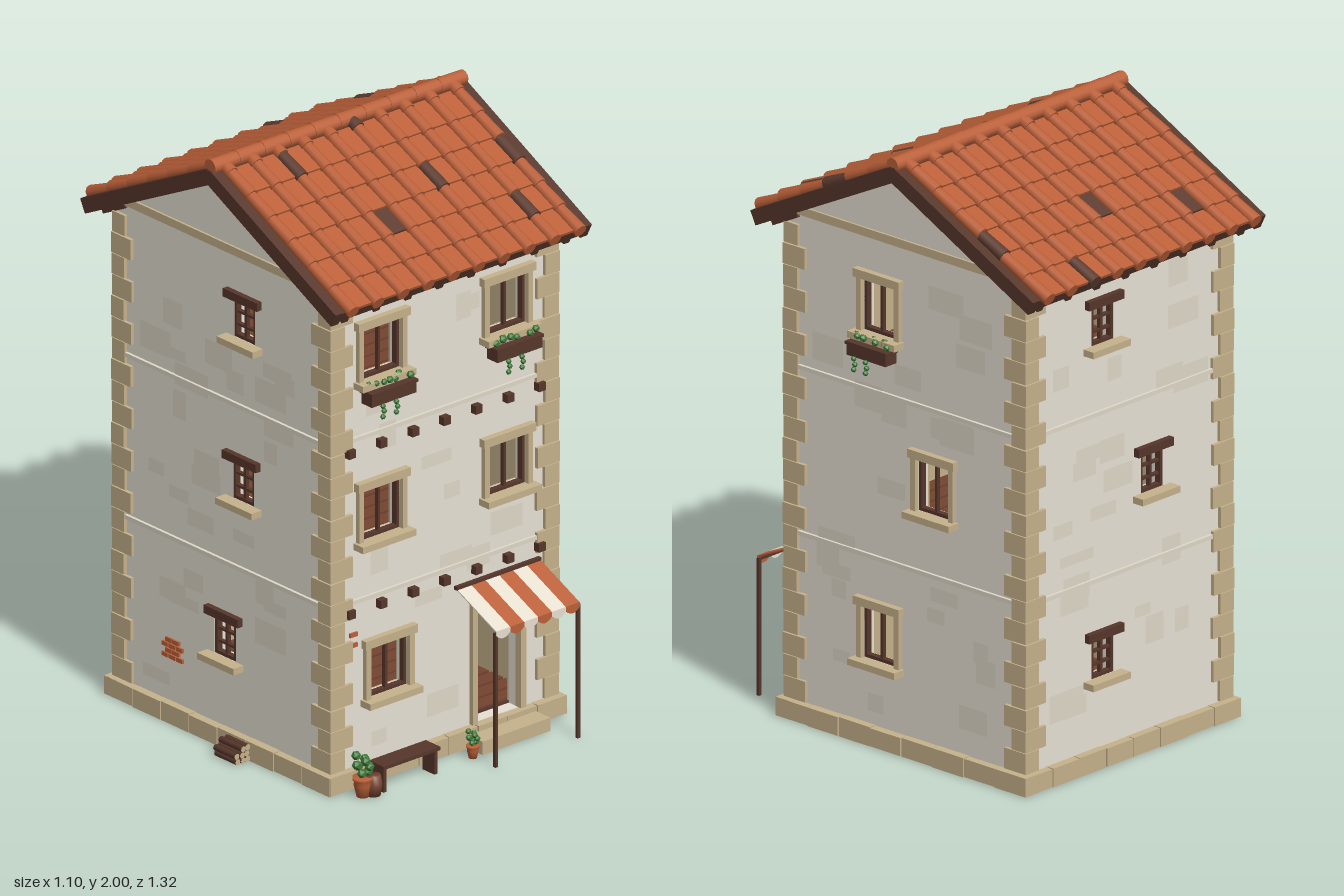
import * as THREE from 'three';

const mat = (name, color, extra = {}) => Object.assign(new THREE.MeshStandardMaterial({ color, ...extra }), { name });
const M = {
  plaster: mat('plaster', 0xe9e3d6), patch: mat('plaster patch', 0xdfd8c8), stone: mat('stone', 0xc6b28b),
  timber: mat('dark timber', 0x56362b), plank: mat('plank', 0x74432f), under: mat('underside', 0x4a2d25),
  tile: mat('terracotta', 0xbb6039), oldTile: mat('old tile', 0x5e3d31), leaf: mat('leaf', 0x3f7a3a),
  canvas: mat('canvas', 0xeae2d2, { side: THREE.DoubleSide }),
};
const CX = 0.009, CZ = -0.0425, HW = 0.462, HD = 0.503, EAVE = 1.67, APEX = 1.92, T = 0.045;

function add(parent, name, geo, m, x = 0, y = 0, z = 0) {
  const mesh = new THREE.Mesh(geo, m);
  mesh.name = name;
  mesh.position.set(x, y, z);
  parent.add(mesh);
  return mesh;
}
const box = (p, name, m, w, h, d, x, y, z) => add(p, name, new THREE.BoxGeometry(w, h, d), m, x, y, z);
const lathe = (p, name, m, pts, x, y, z) =>
  add(p, name, new THREE.LatheGeometry(pts.map(q => new THREE.Vector2(...q)), 12), m, x, y, z);
function group(parent, name, x = 0, y = 0, z = 0, ry = 0) {
  const g = new THREE.Group();
  g.name = name;
  g.position.set(x, y, z);
  g.rotation.y = ry;
  parent.add(g);
  return g;
}
let seed = 7;
const rnd = () => (seed = (seed * 16807) % 2147483647) / 2147483647;

// Wall outline with openings; each opening is {u, y, w, h}
function wallGeometry(hw, gable, openings, depth) {
  const pts = [[-hw, 0.03], [hw, 0.03], [hw, EAVE], ...(gable ? [[0, APEX]] : []), [-hw, EAVE]];
  const shape = new THREE.Shape(pts.map(p => new THREE.Vector2(...p)));
  for (const { u, y, w, h } of openings) {
    const a = u - w / 2, b = u + w / 2;
    shape.holes.push(new THREE.Path([[a, y], [a, y + h], [b, y + h], [b, y]].map(p => new THREE.Vector2(...p))));
  }
  return new THREE.ExtrudeGeometry(shape, { depth, bevelEnabled: false });
}

// Timber frame with glazing bars
function frame(g, { w, h }, cols, rows, z) {
  const t = 0.011;
  for (const s of [-1, 1]) {
    box(g, 'frameStile', M.timber, t, h, 0.02, s * (w - t) / 2, h / 2, z);
    box(g, 'frameRail', M.timber, w, t, 0.02, 0, h / 2 + s * (h - t) / 2, z);
  }
  for (let i = 1; i < cols; i++) box(g, 'mullion', M.timber, 0.01, h, 0.014, -w / 2 + w * i / cols, h / 2, z);
  for (let i = 1; i < rows; i++) box(g, 'glazingBar', M.timber, w, 0.008, 0.014, 0, h * i / rows, z);
}

function largeWindow(face, o) {
  const g = group(face, 'largeWindow', o.u, o.y, 0), { w, h } = o;
  frame(g, o, 2, 1, -0.012);
  for (const s of [-1, 1]) box(g, 'jamb', M.stone, 0.02, h, 0.024, s * (w / 2 + 0.01), h / 2, 0.004);
  box(g, 'lintel', M.stone, w + 0.055, 0.028, 0.034, 0, h + 0.014, 0.006);
  box(g, 'sill', M.stone, w + 0.06, 0.022, 0.055, 0, -0.011, 0.018);
  if (o.flowers) flowerBox(g, w + 0.025);
}

function smallWindow(face, o) {
  const g = group(face, 'smallWindow', o.u, o.y, 0);
  frame(g, o, 2, 3, -0.012);
  box(g, 'lintel', M.timber, o.w + 0.06, 0.028, 0.04, 0, o.h + 0.014, 0.0);
  box(g, 'sill', M.stone, o.w + 0.07, 0.022, 0.06, 0, -0.011, 0.012);
}

const leafBall = (g, r, x, y, z) => add(g, 'leaves', new THREE.IcosahedronGeometry(r, 0), M.leaf, x, y, z);

// Window box with bushy tops and trailing vines
function flowerBox(g, w) {
  const b = group(g, 'flowerBox', 0, -0.048, 0.042);
  box(b, 'trough', M.timber, w, 0.042, 0.05, 0, 0, 0);
  box(b, 'troughRim', M.timber, w + 0.008, 0.01, 0.058, 0, 0.02, 0);
  for (let i = 0; i < 7; i++)
    leafBall(b, 0.009 + rnd() * 0.007, (i / 6 - 0.5) * w * 0.85, 0.032 + rnd() * 0.015, (rnd() - 0.5) * 0.03);
  for (const u of [-0.28, 0.02])
    for (let i = 0; i < 3; i++) leafBall(b, 0.0095, u * w + (i % 2) * 0.005, -0.024 - i * 0.018, 0.031);
}

function pottedPlant(parent, x, z, s) {
  const g = group(parent, 'pottedPlant', x, 0, z);
  g.scale.setScalar(s);
  lathe(g, 'pot', M.tile, [[0, 0], [0.02, 0], [0.029, 0.04], [0.028, 0.055], [0.033, 0.056], [0.033, 0.066], [0, 0.064]], 0, 0, 0);
  for (let i = 0; i < 8; i++) {
    const a = i * 2.4;
    leafBall(g, 0.016, Math.cos(a) * 0.022, 0.078 + i * 0.008, Math.sin(a) * 0.022);
  }
}

// One wall with lining, windows, plinth blocks and plaster patches
function buildFace(root, name, hw, off, ry, gable, openings) {
  const face = group(root, name, CX + Math.sin(ry) * off, 0, CZ + Math.cos(ry) * off, ry);
  add(face, 'wall', wallGeometry(hw, gable, openings, T), M.plaster, 0, 0, -T);
  add(face, 'wallLining', wallGeometry(hw - 0.02, gable, openings, 0.006), M.stone, 0, gable ? -0.005 : 0, -T - 0.006);
  for (const o of openings) if (!o.door) (o.small ? smallWindow : largeWindow)(face, o);
  for (const y of [0.622, 1.173]) box(face, 'floorBand', M.patch, hw * 2, 0.014, 0.02, 0, y, 0);
  if (gable) box(face, 'gableBand', M.stone, hw * 1.88, 0.028, 0.016, 0, 1.692, 0);
  for (let i = 0; i < 8; i++) {
    const w = (hw * 2 + 0.056) / 8;
    box(face, 'plinthBlock', M.stone, w - 0.003, 0.06 + (i % 3) * 0.002, 0.065, (i - 3.5) * w, 0.032, -0.005 + (i % 2) * 0.002);
  }
  for (let i = 0; i < 30; i++) {
    const w = 0.06 + rnd() * 0.1, h = 0.035 + rnd() * 0.06, u = (rnd() - 0.5) * (hw * 2 - 0.3), y = 0.13 + rnd() * 1.48;
    const clear = openings.every(o => Math.abs(u - o.u) > (w + o.w) / 2 + 0.03 || Math.abs(y - o.y - o.h / 2) > (h + o.h) / 2 + 0.03);
    if (clear) add(face, 'plasterPatch', new THREE.PlaneGeometry(w, h), M.patch, u, y, 0.0012 + i * 0.00003);
  }
  return face;
}

function brickPatch(face, u, y, rows, cols) {
  for (let r = 0; r < rows; r++)
    for (let c = 0; c < cols - (r % 2); c++)
      box(face, 'exposedBrick', M.tile, 0.03, 0.014, 0.008, u + (c - cols / 2 + (r % 2) * 0.5) * 0.034, y + r * 0.018, 0.003);
}

// One roof slope, running down along local +z from the ridge
function buildSlope(root, ry, oldPans, oldRolls) {
  const side = group(root, 'roofSlope', CX + 0.002, 1.962, CZ, ry), s = group(side, 'slope');
  s.rotation.x = 0.463;
  const L = 0.667, pitch = 0.1045, step = 0.1065;
  const pick = (list, a, b) => (list.some(p => p[0] === a && p[1] === b) ? M.oldTile : M.tile);
  box(s, 'roofBoard', M.timber, 1.06, 0.036, L - 0.004, 0, -0.018, L / 2 - 0.002);
  for (const e of [-1, 1]) box(s, 'rakeBoard', M.timber, 0.03, 0.05, L, e * 0.515, -0.017, L / 2);
  for (let i = 0; i < 8; i++) box(s, 'rafterTail', M.timber, 0.024, 0.03, 0.12, (i - 3.5) * 0.131, -0.045, L - 0.07);
  for (let c = 0; c < 10; c++) {
    const x = (c - 4.5) * pitch;
    for (let r = 0; r < 6 && c < 9; r++)
      box(s, 'panTile', pick(oldPans, c, r), pitch - 0.004, 0.01, step + 0.006, x + pitch / 2, 0.006, 0.028 + (r + 0.5) * step).rotation.x = -0.07;
    // A short half roll meets the ridge, full rolls follow
    for (let r = -1; r < 6; r++) {
      const len = r < 0 ? 0.04 : step, z = r < 0 ? 0.02 : 0.038 + (r + 0.5) * step;
      const roll = new THREE.CylinderGeometry(0.0225, 0.0195, len + 0.008, 10).rotateX(Math.PI / 2);
      add(s, 'rollTile', roll, pick(oldRolls, c, r), x, 0.012, z).rotation.x = -0.04;
    }
  }
}

function buildAwning(front) {
  const g = group(front, 'awning', 0.222, 0, 0), n = 6, w = 0.345 / n;
  const dz = 0.19, dy = -0.085, slopeLen = Math.hypot(dz, dy);
  box(g, 'wallRail', M.timber, 0.35, 0.012, 0.014, 0, 0.547, 0.008);
  box(g, 'frontRail', M.timber, 0.35, 0.008, 0.008, 0, 0.452, 0.19);
  for (let i = 0; i < n; i++) {
    const m = i % 2 ? M.tile : M.canvas, x = (i - (n - 1) / 2) * w;
    box(g, 'awningStripe', m, w, 0.004, slopeLen, x, 0.545 + dy / 2, 0.005 + dz / 2).rotation.x = Math.atan2(-dy, dz);
    const scallop = new THREE.Shape();
    scallop.moveTo(w / 2, 0).lineTo(-w / 2, 0).lineTo(-w / 2, -0.015);
    scallop.quadraticCurveTo(0, -0.045, w / 2, -0.015);
    add(g, 'valance', new THREE.ExtrudeGeometry(scallop, { depth: 0.003, bevelEnabled: false, curveSegments: 6 }), m, x, 0.462, 0.194);
  }
  for (const e of [-1, 1]) box(g, 'awningPost', M.timber, 0.011, 0.455, 0.011, e * 0.17, 0.2275, 0.19);
}

export function createModel() {
  const root = new THREE.Group();
  root.name = 'townHouse';
  const big = (u, y, w = 0.16, flowers = false) => ({ u, y, w, h: 0.175, flowers });
  const small = (u, y) => ({ u, y, w: 0.1, h: 0.13, small: true });
  const door = { u: 0.222, y: 0.065, w: 0.18, h: 0.42, door: true };

  // Four walls
  const front = buildFace(root, 'frontWall', HW, HD, 0, false,
    [big(-0.259, 1.365, 0.16, true), big(0.261, 1.365, 0.16, true), big(-0.259, 0.819), big(0.261, 0.819), big(-0.229, 0.278), door]);
  buildFace(root, 'leftWall', HD, HW, Math.PI / 2, true,
    [big(-0.112, 1.365, 0.14, true), big(0.118, 0.824, 0.14), big(-0.112, 0.278, 0.14)]);
  buildFace(root, 'backWall', HW, HD, Math.PI, false, [small(-0.112, 1.4), small(0.113, 0.85), small(-0.112, 0.295)]);
  const west = buildFace(root, 'rightWall', HD, HW, -Math.PI / 2, true, [small(0.097, 1.4), small(0.092, 0.85), small(0.007, 0.295)]);
  brickPatch(front, -0.355, 0.475, 3, 1);
  brickPatch(west, -0.22, 0.215, 4, 3);

  // Plinth core, recessed underside and plank floors
  box(root, 'plinth', M.stone, HW * 2 + 0.02, 0.05, HD * 2 + 0.02, CX, 0.037, CZ);
  box(root, 'underside', M.under, HW * 2 - 0.05, 0.006, HD * 2 - 0.05, CX, 0.01, CZ);
  for (const y of [0.062, 0.615, 1.166]) {
    box(root, 'floorSlab', M.timber, 0.84, 0.02, 0.92, CX, y, CZ);
    for (let i = 0; i < 14; i++) box(root, 'floorPlank', M.plank, 0.83, 0.006, 0.054, CX, y + 0.012, CZ + (i - 6.5) * 0.065);
  }

  // Corner quoins, alternating long and short
  const n = 22, qh = (1.645 - 0.065) / n;
  for (const sx of [-1, 1]) for (const sz of [-1, 1]) for (let i = 0; i < n; i++) {
    const a = i % 2 ? 0.092 : 0.06, b = i % 2 ? 0.06 : 0.092, y = 0.065 + (i + 0.5) * qh, out = 0.011 + (i % 3) * 0.001;
    box(root, 'quoin', M.stone, a, qh - 0.003, 0.05, CX + sx * (HW + out - a / 2), y, CZ + sz * (HD + out - 0.025));
    box(root, 'quoin', M.stone, 0.05, qh - 0.003, b, CX + sx * (HW + out - 0.025), y, CZ + sz * (HD + out - b / 2));
  }

  // Beam ends
  for (const y of [0.59, 1.135]) for (let i = 0; i < 7; i++)
    box(front, 'beamEnd', M.timber, 0.028, 0.028, 0.045, (i - 3) * 0.131, y, 0.001);

  // Doorway, step and awning
  for (const e of [-1, 1]) box(front, 'doorJamb', M.stone, 0.022, 0.42, 0.026, 0.222 + e * 0.1, 0.275, 0.003);
  box(front, 'doorLintel', M.stone, 0.24, 0.032, 0.03, 0.222, 0.5, 0.004);
  box(front, 'doorStep', M.stone, 0.28, 0.045, 0.09, 0.222, 0.0225, 0.05);
  buildAwning(front);

  // Furniture inside
  box(root, 'chairSeat', M.timber, 0.06, 0.01, 0.06, 0.14, 0.135, 0.2);
  for (const x of [0.115, 0.165]) for (const z of [0.175, 0.225])
    box(root, 'chairLeg', M.timber, 0.01, z < 0.2 ? 0.13 : 0.06, 0.01, x, z < 0.2 ? 0.137 : 0.102, z);
  const jar = [[0, 0], [0.014, 0], [0.024, 0.055], [0.012, 0.11], [0.014, 0.13], [0, 0.13]];
  lathe(root, 'floorJar', M.tile, jar, 0.303, 0.075, 0.25);
  box(root, 'tableTop', M.timber, 0.1, 0.01, 0.08, 0.0, 0.337, 0.03);
  box(root, 'tableLeg', M.timber, 0.02, 0.262, 0.02, 0.0, 0.205, 0.03);
  lathe(root, 'tableJar', M.tile, [[0, 0], [0.012, 0], [0.018, 0.018], [0.012, 0.036], [0, 0.036]], 0.0, 0.342, 0.04);

  // Bench, barrel and pots outside
  box(root, 'benchSeat', M.timber, 0.235, 0.012, 0.068, -0.22, 0.086, 0.542);
  for (const e of [-1, 1]) box(root, 'benchLeg', M.timber, 0.012, 0.08, 0.055, -0.22 + e * 0.105, 0.04, 0.542);
  lathe(root, 'barrel', M.plank, [[0, 0], [0.024, 0], [0.03, 0.033], [0.024, 0.068], [0, 0.066]], -0.364, 0, 0.558);
  pottedPlant(root, -0.396, 0.545, 1);
  pottedPlant(root, 0.055, 0.55, 0.65);

  // Log pile by the right wall
  [3, 3, 2].forEach((count, r) => {
    for (let i = 0; i < count; i++) {
      const log = new THREE.CylinderGeometry(0.0105, 0.0105, 0.1 + (i % 2) * 0.006, 8).rotateX(Math.PI / 2);
      add(root, 'log', log, [M.timber, M.stone, M.stone], -0.491 - i * 0.0205 - (r % 2) * 0.004, 0.011 + r * 0.0195, 0.063);
    }
  });

  // Roof slopes and ridge
  buildSlope(root, 0, [[3, 3]], [[2, 0], [5, -1], [6, 2], [9, 2], [8, 4]]);
  buildSlope(root, Math.PI, [[7, 4], [4, 3]], [[2, 5], [0, 3]]);
  for (let i = 0; i < 10; i++) {
    const cap = new THREE.CylinderGeometry(0.026, 0.024, 0.108, 12).rotateZ(Math.PI / 2);
    add(root, 'ridgeTile', cap, M.tile, CX + 0.005 + (i - 4.5) * 0.1045, 1.974, CZ);
  }
  return root;
}
